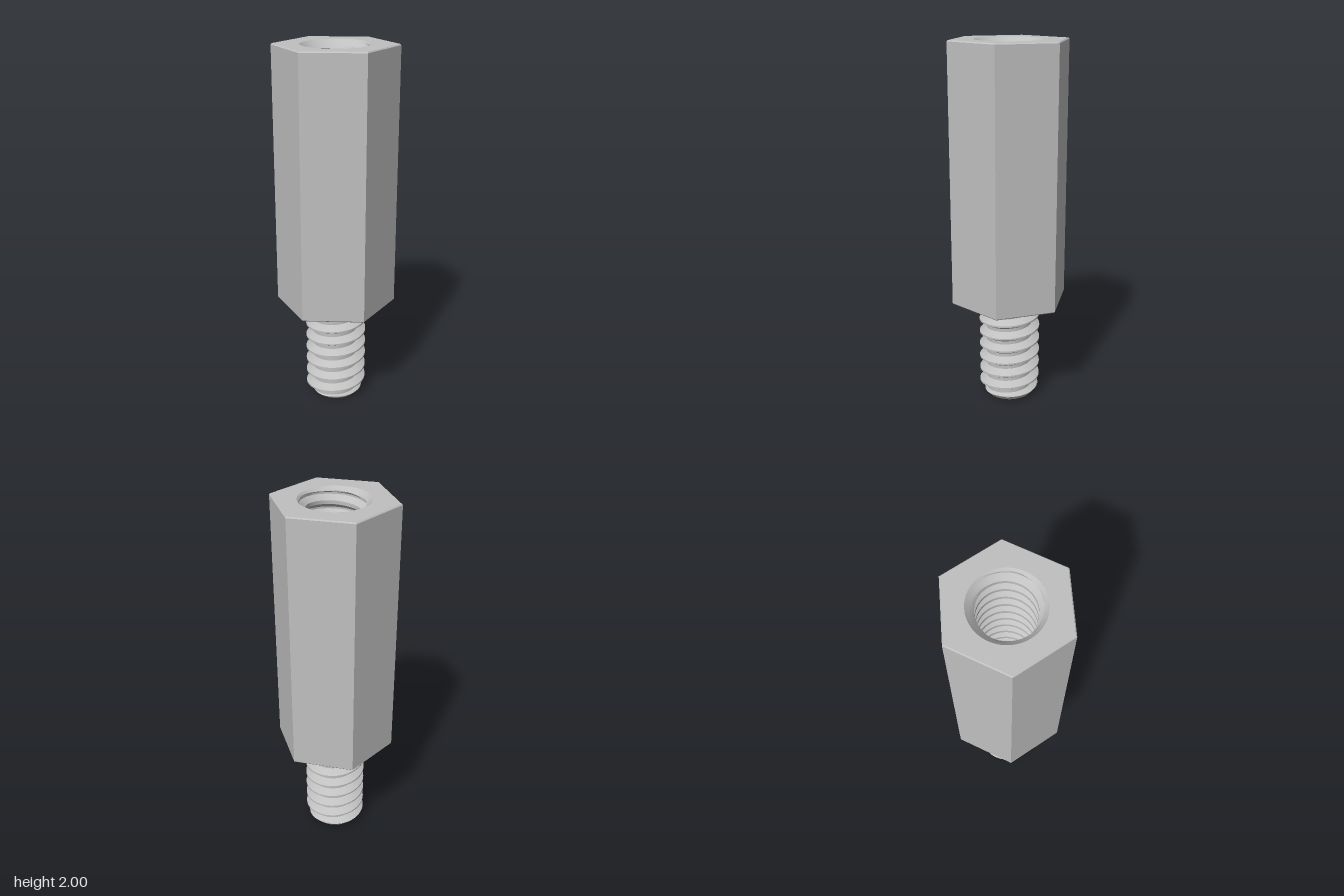
import * as THREE from 'three';
import { toCreasedNormals } from 'three/addons/utils/BufferGeometryUtils.js';

const HEX_R = 0.329, CHAMFER = 0.006;
const BODY_BOTTOM = 0.578, TOP = 2;
const PITCH = 0.0758;
const BORE_R = 0.142, MOUTH_R = 0.183, BORE_BOTTOM = 1.3;

// Trapezoid thread radius: flat crest, straight flanks, flat root
function threadRadius(u, crest, root) {
  const d = Math.abs(u - Math.round(u));
  const t = THREE.MathUtils.clamp((d - 1 / 16) / (3 / 8 - 1 / 16), 0, 1);
  return crest + (root - crest) * t;
}

// Right-handed helical surface between two heights; trim(r, y) cuts its ends
function threadGeometry({ yMin, yMax, yPhase, crest, root, trim, inward }) {
  const segments = 72;
  const phases = [-1 / 16, 1 / 16, 0.14, 0.22, 0.3, 3 / 8, 5 / 8, 0.7, 0.78, 0.86];
  const rows = [];
  const first = Math.floor((yMin - yPhase) / PITCH) - 2;
  const last = Math.ceil((yMax - yPhase) / PITCH) + 1;
  for (let k = first; k <= last; k++) for (const p of phases) rows.push(k + p);

  const point = (i, j) => {
    const turn = i / segments;
    const angle = (i % segments) / segments * Math.PI * 2;
    const y = THREE.MathUtils.clamp(yPhase + PITCH * (rows[j] + turn), yMin, yMax);
    const r = trim(threadRadius((y - yPhase) / PITCH - turn, crest, root), y);
    return new THREE.Vector3(r * Math.cos(angle), y, -r * Math.sin(angle));
  };

  const positions = [];
  const triangle = new THREE.Triangle();
  const add = (a, b, c) => {
    if (triangle.set(a, b, c).getArea() < 1e-9) return;
    for (const v of inward ? [a, c, b] : [a, b, c]) positions.push(v.x, v.y, v.z);
  };
  for (let j = 0; j < rows.length - 1; j++) {
    for (let i = 0; i < segments; i++) {
      const a = point(i, j), b = point(i + 1, j), c = point(i + 1, j + 1), d = point(i, j + 1);
      add(a, b, c);
      add(a, c, d);
    }
  }
  const geometry = new THREE.BufferGeometry();
  geometry.setAttribute('position', new THREE.Float32BufferAttribute(positions, 3));
  return toCreasedNormals(geometry, 0.45);
}

export function createModel() {
  const model = new THREE.Group();
  model.name = 'hexStandoff';
  const steel = new THREE.MeshStandardMaterial({ color: 0xc0c0c0 });
  steel.name = 'steel';

  const addPart = (name, geometry) => {
    const mesh = new THREE.Mesh(geometry, steel);
    mesh.name = name;
    model.add(mesh);
    return mesh;
  };

  // Six-sided body with a small chamfer at both ends
  const profile = [
    [0, BODY_BOTTOM],
    [HEX_R - CHAMFER, BODY_BOTTOM],
    [HEX_R, BODY_BOTTOM + CHAMFER],
    [HEX_R, TOP - CHAMFER],
    [HEX_R - CHAMFER, TOP],
  ].map(([x, y]) => new THREE.Vector2(x, y));
  const body = new THREE.LatheGeometry(profile, 6, Math.PI / 2).toNonIndexed();
  body.computeVertexNormals();
  addPart('hexBody', body);

  // Top face with the round mouth of the bore
  const corners = Array.from({ length: 6 }, (_, i) => new THREE.Vector2(
    Math.cos(i * Math.PI / 3), Math.sin(i * Math.PI / 3)).multiplyScalar(HEX_R - CHAMFER));
  const topShape = new THREE.Shape(corners);
  topShape.holes.push(new THREE.Path().absarc(0, 0, MOUTH_R, 0, Math.PI * 2, true));
  const topFace = addPart('topFace', new THREE.ShapeGeometry(topShape, 36));
  topFace.rotation.x = -Math.PI / 2;
  topFace.position.y = TOP;

  // Countersunk, threaded blind bore
  addPart('boreThread', threadGeometry({
    yMin: BORE_BOTTOM, yMax: TOP, yPhase: BORE_BOTTOM,
    crest: 0.172, root: BORE_R, inward: true,
    trim: (r, y) => Math.max(Math.min(r, BORE_R + y - BORE_BOTTOM), MOUTH_R - (TOP - y)),
  }));
  const boreFloor = addPart('boreFloor', new THREE.CircleGeometry(BORE_R, 72));
  boreFloor.rotation.x = -Math.PI / 2;
  boreFloor.position.y = BORE_BOTTOM;

  // Threaded stud with a chamfered tip
  const tipR = 0.127;
  addPart('studThread', threadGeometry({
    yMin: 0, yMax: BODY_BOTTOM, yPhase: 0.09,
    crest: 0.17, root: 0.13, inward: false,
    trim: (r, y) => Math.min(r, tipR + y * 0.9),
  }));
  const studTip = addPart('studTip', new THREE.CircleGeometry(tipR, 72));
  studTip.rotation.x = Math.PI / 2;

  return model;
}
